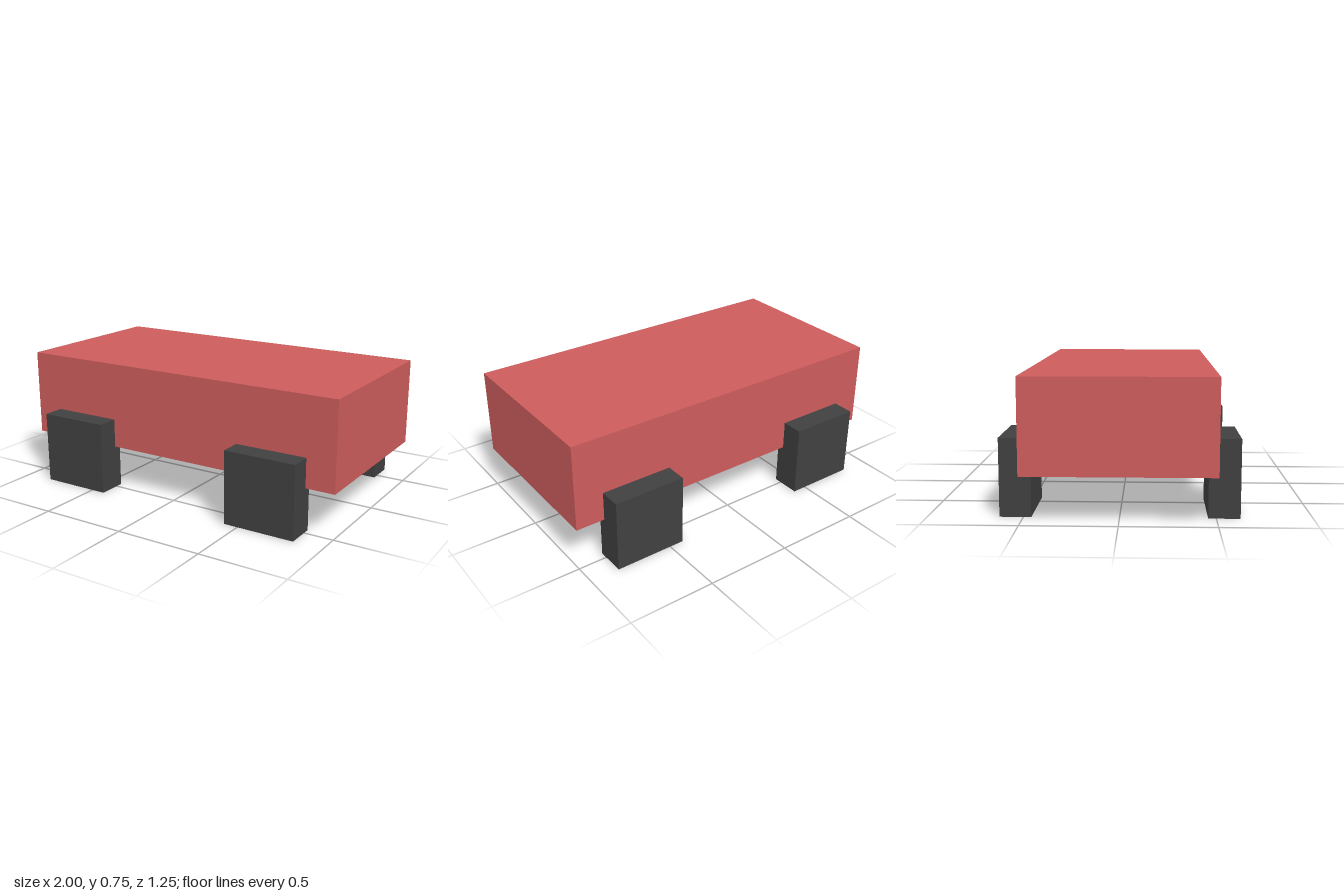
import * as THREE from 'three';

export function createModel() {
  const model = new THREE.Group();
  const red = new THREE.MeshStandardMaterial({ color: 0xcd5c5c });
  const dark = new THREE.MeshStandardMaterial({ color: 0x404040 });

  const addBox = (name, size, position, material) => {
    const mesh = new THREE.Mesh(new THREE.BoxGeometry(...size), material);
    mesh.name = name;
    mesh.position.set(...position);
    model.add(mesh);
  };

  // Main slab
  addBox('body', [2, 0.5, 1], [0, 0.5, 0], red);

  // Four block wheels, partly sunk into the long sides
  const side = 5 / 12;
  const depth = 1 / 6;
  for (const [zName, sz] of [['front', 1], ['back', -1]]) {
    for (const [xName, sx] of [['Left', 1], ['Right', -1]]) {
      addBox(`${zName}${xName}Wheel`, [side, side, depth],
        [sx * 0.625, side / 2, sz * (0.625 - depth / 2)], dark);
    }
  }
  return model;
}
